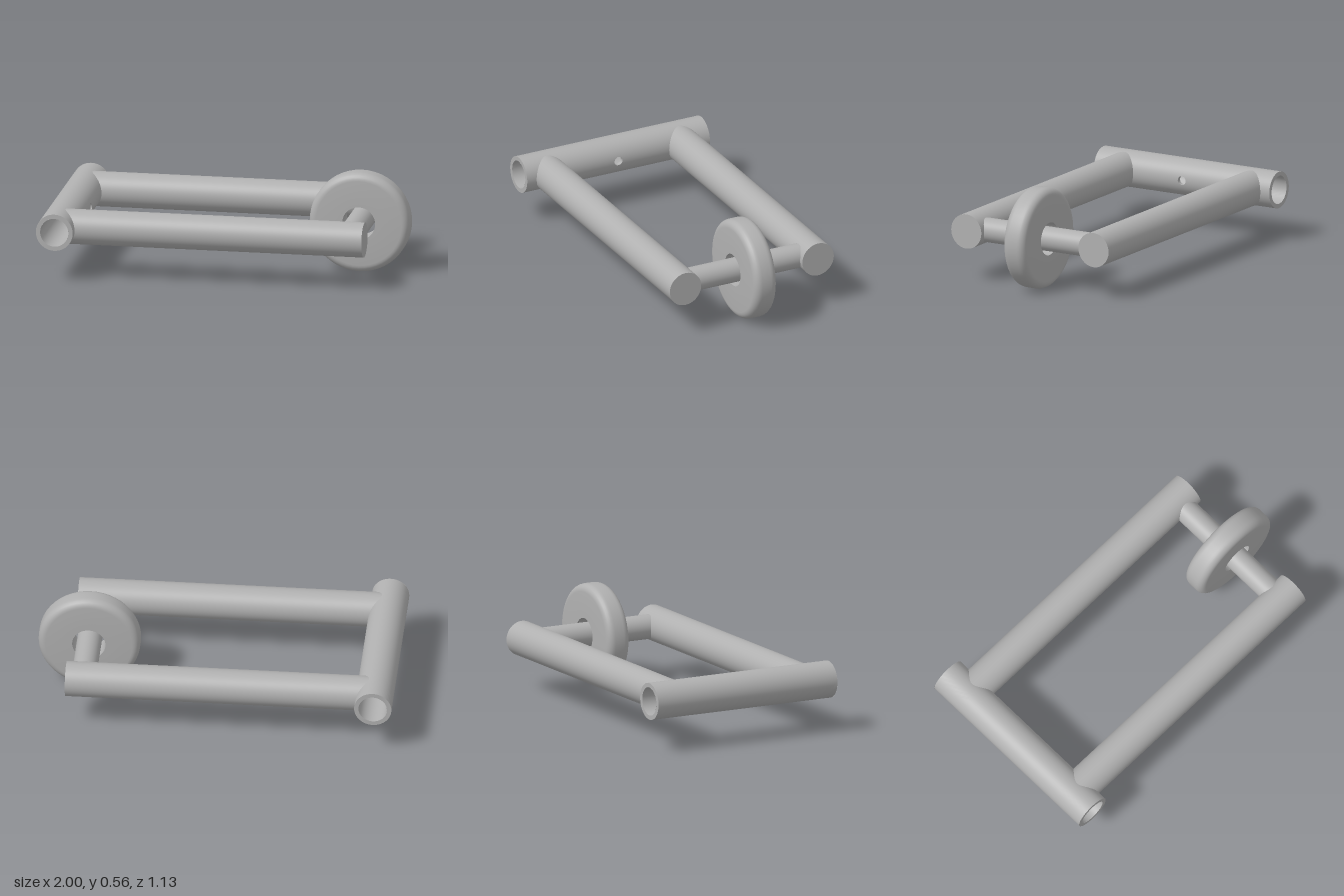
import * as THREE from 'three';
import { toCreasedNormals } from 'three/addons/utils/BufferGeometryUtils.js';
import { ParametricGeometry } from 'three/addons/geometries/ParametricGeometry.js';

const AXIS_Y = 0.285;   // height shared by every axis
const TUBE_X = -0.897, TUBE_R = 0.103, BORE_R = 0.079, TUBE_HALF = 0.565;
const ARM_R = 0.097, ARM_Z = 0.41, ARM_END = 0.81;
const WHEEL_X = 0.715, WHEEL_R = 0.281, WHEEL_HALF = 0.069;
const PIN_R = 0.025;    // small hole in the tube wall

export function createModel() {
  const model = new THREE.Group();
  const metal = new THREE.MeshStandardMaterial({ color: 0xb0b0b0, side: THREE.DoubleSide });
  metal.name = 'grey metal';

  const add = (parent, name, geometry, x = 0, y = 0, z = 0) => {
    const mesh = new THREE.Mesh(geometry, metal);
    mesh.name = name;
    mesh.position.set(x, y, z);
    parent.add(mesh);
    return mesh;
  };

  // Point on a cylinder around z, from an angle and a distance along it
  const onTube = (r, angle, z, target) => target.set(r * Math.cos(angle), r * Math.sin(angle), z);

  // Cylinder wall unrolled as rings growing from the pin hole out to the tube ends
  const piercedWall = (r, turn) => new ParametricGeometry((u, v, target) => {
    const a = turn * u * Math.PI * 2, c = Math.cos(a), s = Math.sin(a);
    const m = Math.max(Math.abs(c), Math.abs(s));
    const angle = THREE.MathUtils.lerp(Math.asin(PIN_R * c / r), Math.PI * c / m, v);
    const z = THREE.MathUtils.lerp(PIN_R * s, TUBE_HALF * s / m, v);
    onTube(r, angle, z, target);
  }, 128, 24);

  // Hollow cross tube
  const tube = new THREE.Group();
  tube.name = 'crossTube';
  tube.position.set(TUBE_X, AXIS_Y, 0);
  model.add(tube);
  add(tube, 'tubeOuterWall', piercedWall(TUBE_R, -1));
  add(tube, 'tubeBore', piercedWall(BORE_R, 1));
  add(tube, 'pinHoleWall', new ParametricGeometry((u, v, target) => {
    const a = u * Math.PI * 2, r = THREE.MathUtils.lerp(TUBE_R, BORE_R, v);
    onTube(r, Math.asin(PIN_R * Math.cos(a) / r), PIN_R * Math.sin(a), target);
  }, 32, 1));
  for (const side of [1, -1]) {
    const rim = add(tube, 'tubeRim', new THREE.RingGeometry(BORE_R, TUBE_R, 64), 0, 0, side * TUBE_HALF);
    if (side < 0) rim.rotation.y = Math.PI;
  }

  // Side arms, with the inner end shaped to meet the round tube
  const armGeometry = new THREE.CylinderGeometry(ARM_R, ARM_R, 1, 64, 1, true).rotateZ(-Math.PI / 2);
  const p = armGeometry.attributes.position;
  for (let i = 0; i < p.count; i++) {
    const cope = Math.sqrt(Math.max(0, 0.092 ** 2 - p.getY(i) ** 2));
    p.setX(i, p.getX(i) > 0 ? ARM_END : TUBE_X + cope);
  }
  for (const side of [1, -1]) {
    const arm = new THREE.Group();
    arm.name = side > 0 ? 'frontArm' : 'backArm';
    arm.position.set(0, AXIS_Y, side * ARM_Z);
    model.add(arm);
    add(arm, 'armBar', armGeometry);
    add(arm, 'armEnd', new THREE.CircleGeometry(ARM_R, 64).rotateY(Math.PI / 2), ARM_END);
  }

  // Axle between the arms
  add(model, 'axle', new THREE.CylinderGeometry(PIN_R * 2.72, PIN_R * 2.72, 0.73, 48).rotateX(Math.PI / 2),
    WHEEL_X, AXIS_Y, 0);

  // Wheel with rounded shoulders and a loose bore
  const fillet = 0.042, bore = 0.092;
  const profile = [new THREE.Vector2(bore, -WHEEL_HALF)];
  for (const side of [-1, 1]) {
    for (let i = 0; i <= 6; i++) {
      const a = (side < 0 ? i - 6 : i) * Math.PI / 12;
      profile.push(new THREE.Vector2(
        WHEEL_R - fillet + fillet * Math.cos(a),
        side * (WHEEL_HALF - fillet) + fillet * Math.sin(a)));
    }
  }
  profile.push(new THREE.Vector2(bore, WHEEL_HALF), new THREE.Vector2(bore, -WHEEL_HALF));
  const wheel = toCreasedNormals(new THREE.LatheGeometry(profile, 48), 0.6).rotateX(Math.PI / 2);
  add(model, 'wheel', wheel, WHEEL_X, AXIS_Y, 0);

  return model;
}
